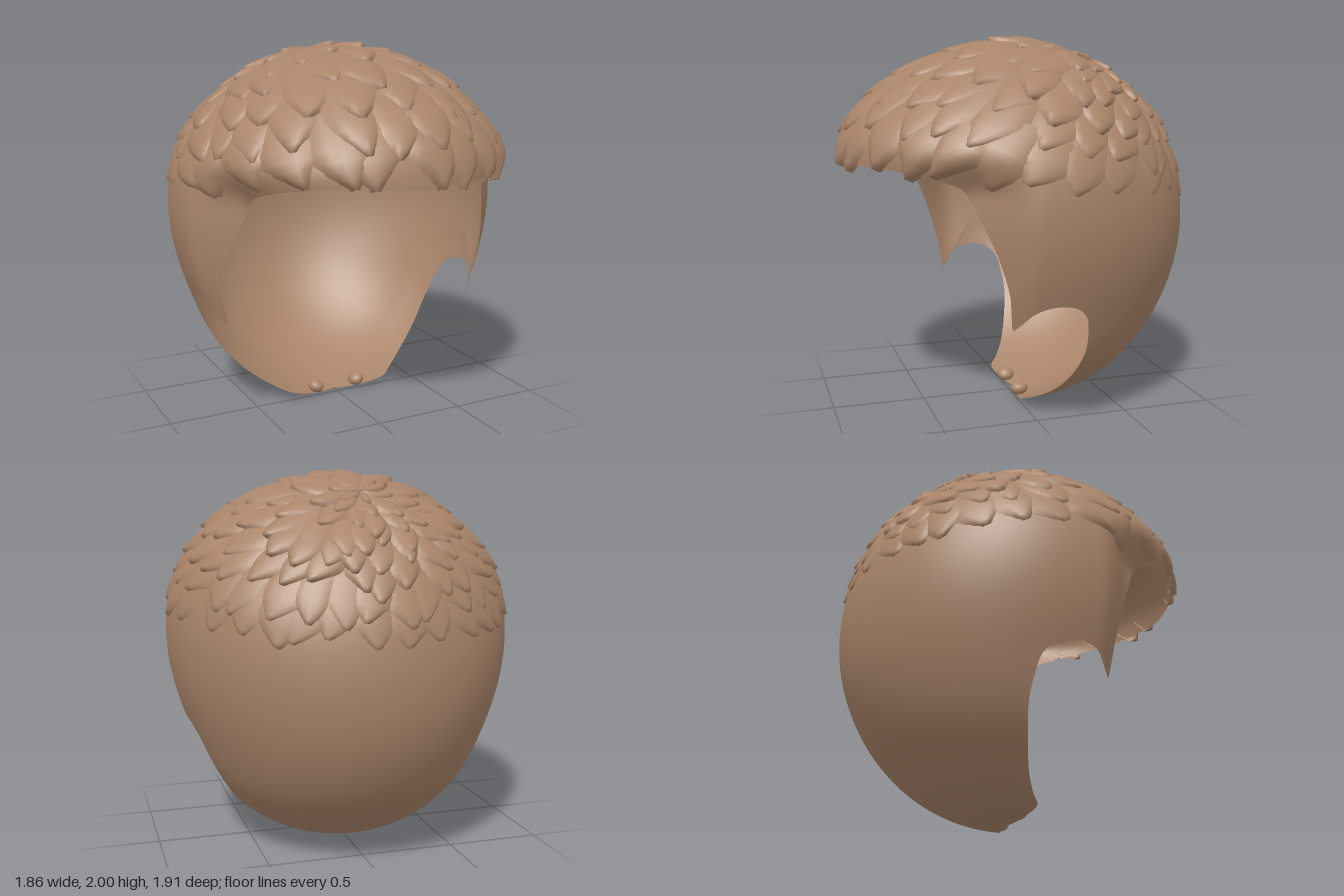
import * as THREE from 'three';
import { mergeVertices, mergeGeometries } from 'three/addons/utils/BufferGeometryUtils.js';

const V = (x, y, z) => new THREE.Vector3(x, y, z);
const smooth = THREE.MathUtils.smoothstep;
const clamp = THREE.MathUtils.clamp;

// Seeded random numbers for the irregular tufts
let seed = 7;
const rnd = () => ((seed = (seed * 16807) % 2147483647) / 2147483647);

// Head surface: unit direction -> point, raised outward by lift
function headPoint(d, lift = 0) {
  const y = 1 + d.y;
  const sideburn = 0.18 * smooth(d.z, 0.12, 0.43) * (1 - smooth(y, 1.22, 1.45));
  const a = (0.85 + 0.15 * Math.sqrt((y - 0.6) ** 2 + 0.02)) * (1 - sideburn);
  const brow = Math.max(0, d.z) * (0.04 + 0.45 * clamp(y - 1.33, 0, 0.4));
  const occiput = 0.04 * smooth(y, 1.4, 1.7) * clamp(-2 * d.z, 0, 1);
  const b = 0.95 + brow + occiput;
  const k = 1 - 0.036 * smooth(y, 1.3, 1.8) + lift;
  return V(d.x * a * k, 1 + d.y * k, d.z * b * k);
}

// Surface from a rule over rows and columns, with shared smooth normals
function grid(rows, cols, rule, flip = false) {
  const pos = [], index = [];
  for (let i = 0; i <= rows; i++)
    for (let j = 0; j <= cols; j++) pos.push(...rule(i, j).toArray());
  for (let i = 0; i < rows; i++)
    for (let j = 0; j < cols; j++) {
      const a = i * (cols + 1) + j, b = a + 1, c = a + cols + 1, d = c + 1;
      if (flip) index.push(a, b, c, b, d, c);
      else index.push(a, c, b, b, c, d);
    }
  let g = new THREE.BufferGeometry();
  g.setAttribute('position', new THREE.Float32BufferAttribute(pos, 3));
  g.setIndex(index);
  g = mergeVertices(g, 1e-5);
  g.computeVertexNormals();
  return g;
}

// Opening edge as [z, y] from fringe centre, past sideburn and ear arch, to nape
const edgeProfile = [
  [0.95, 1.36], [0.85, 1.355], [0.7, 1.345], [0.55, 1.31], [0.43, 1.26], [0.36, 1.12],
  [0.29, 0.95], [0.235, 0.76], [0.22, 0.65], [0.205, 0.575], [0.18, 0.61], [0.12, 0.67],
  [0.05, 0.697], [-0.02, 0.7], [-0.1, 0.68], [-0.16, 0.62], [-0.18, 0.54], [-0.19, 0.42],
  [-0.16, 0.28], [-0.1, 0.15], [-0.03, 0.08], [0.02, 0.05], [0.0, 0.02], [-0.05, 0.001],
];

function edgeLoop() {
  const last = edgeProfile.length - 1;
  const pts = edgeProfile.map(([z, y], i) => {
    const dy = y - 1, dz = z / 0.96;
    const x = i === 0 || i === last ? 0 : Math.sqrt(Math.max(0, 1 - dy * dy - dz * dz));
    return V(x, dy, dz).normalize();
  });
  const half = new THREE.CatmullRomCurve3(pts, false, 'centripetal').getPoints(115);
  half.forEach((p) => p.normalize());
  const other = half.slice(0, -1).reverse().map((p) => V(-p.x, p.y, p.z));
  return [...half, ...other];
}

// Shell fans from the back of the crown to the opening edge
function shell(inner) {
  const loop = edgeLoop(), rows = 36, pole = V(0, 0.8, -0.6);
  return grid(rows, loop.length - 1, (i, j) => {
    const t = i / rows, e = loop[j], ang = pole.angleTo(e), s = Math.sin(ang);
    const d = pole.clone().multiplyScalar(Math.sin((1 - t) * ang) / s)
      .addScaledVector(e, Math.sin(t * ang) / s).normalize();
    return headPoint(d, inner ? -0.016 * Math.min(1, (1 - t) * 8) : 0);
  }, inner);
}

// Direction at angle theta from the crown whorl, turned by alpha (0 = forward)
const crown = V(0, 0.9, -0.436).normalize();
const forward = V(0, 0.436, 0.9).normalize();
function around(theta, alpha) {
  return crown.clone().multiplyScalar(Math.cos(theta))
    .addScaledVector(forward, Math.sin(theta) * Math.cos(alpha))
    .addScaledVector(V(1, 0, 0), Math.sin(theta) * Math.sin(alpha));
}

// How far the tufts reach down from the crown: shortest at the fringe, longest behind
function reach(alpha) {
  const c = Math.cos(alpha);
  const limit = 0.27 + 0.07 * Math.max(0, c) + 0.09 * Math.min(0, c);
  let theta = 0.3;
  while (theta < 2 && around(theta, alpha).y > limit) theta += 0.01;
  return theta;
}

// One broad pointed lock lying on the head, raised towards its tip
function tuft(alpha, tip, length, halfWidth, height, skew) {
  const steps = [0, 0.25, 0.5, 0.65, 0.78, 0.9, 1, 0.985], cols = 6;
  return grid(steps.length - 1, cols, (i, j) => {
    const s = steps[i], v = (j / cols) * 2 - 1;
    const point = Math.max(0, (s - 0.55) / 0.45);
    const taper = 1 - 0.88 * point ** 1.25;
    const closing = i === steps.length - 1;
    const rise = height * (0.3 + 0.7 * s ** 0.8);
    const lift = closing ? -0.012 : rise * (1 - v ** 4) * (1 - 0.25 * v * v) - 0.008 * v ** 4;
    const theta = Math.max(0.01, tip - length * (1 - s));
    return headPoint(around(theta, alpha + halfWidth * (v * taper + skew * point)), lift);
  });
}

// Overlapping tiers from crown to fringe
function tufts() {
  const parts = [], tiers = 8;
  for (let k = 1; k <= tiers; k++) {
    const f = k / tiers;
    const count = Math.max(7, Math.round((2 * Math.PI * Math.sin(f * 1.4)) / 0.21));
    for (let n = 0; n < count; n++) {
      const alpha = ((n + (k % 2) * 0.5 + (rnd() - 0.5) * 0.5) / count) * 2 * Math.PI;
      const max = reach(alpha), step = max / tiers;
      const front = smooth(Math.cos(alpha), 0.1, 0.5);
      const fade = 1 - (1 - front) * 0.6 * smooth(f, 0.6, 1);
      const loose = k === tiers ? 0.05 : 0.09;
      const tip = f * max + (rnd() - 0.5) * loose;
      parts.push(tuft(alpha, tip, step * 2.1, (Math.PI / count) * (1.45 + rnd() * 0.4),
        (0.026 + rnd() * 0.016) * fade, (rnd() - 0.5) * 0.7));
    }
  }
  return mergeGeometries(parts);
}

export function createModel() {
  const group = new THREE.Group();
  const brown = new THREE.MeshStandardMaterial({ color: 0xa98469, side: THREE.DoubleSide });
  brown.name = 'warm brown';
  const add = (name, geometry) => {
    const mesh = new THREE.Mesh(geometry, brown);
    mesh.name = name;
    group.add(mesh);
    return mesh;
  };
  add('outerHair', shell(false));
  add('innerHair', shell(true));
  add('hairTufts', tufts());

  // Small curled locks at the nape
  for (const side of [-1, 1]) {
    const curl = add(side > 0 ? 'leftNapeCurl' : 'rightNapeCurl', new THREE.SphereGeometry(0.045, 16, 12));
    curl.scale.set(1, 0.8, 1.1);
    curl.position.set(side * 0.13, 0.05, -0.02);
    curl.rotation.z = side * 0.4;
  }
  return group;
}
